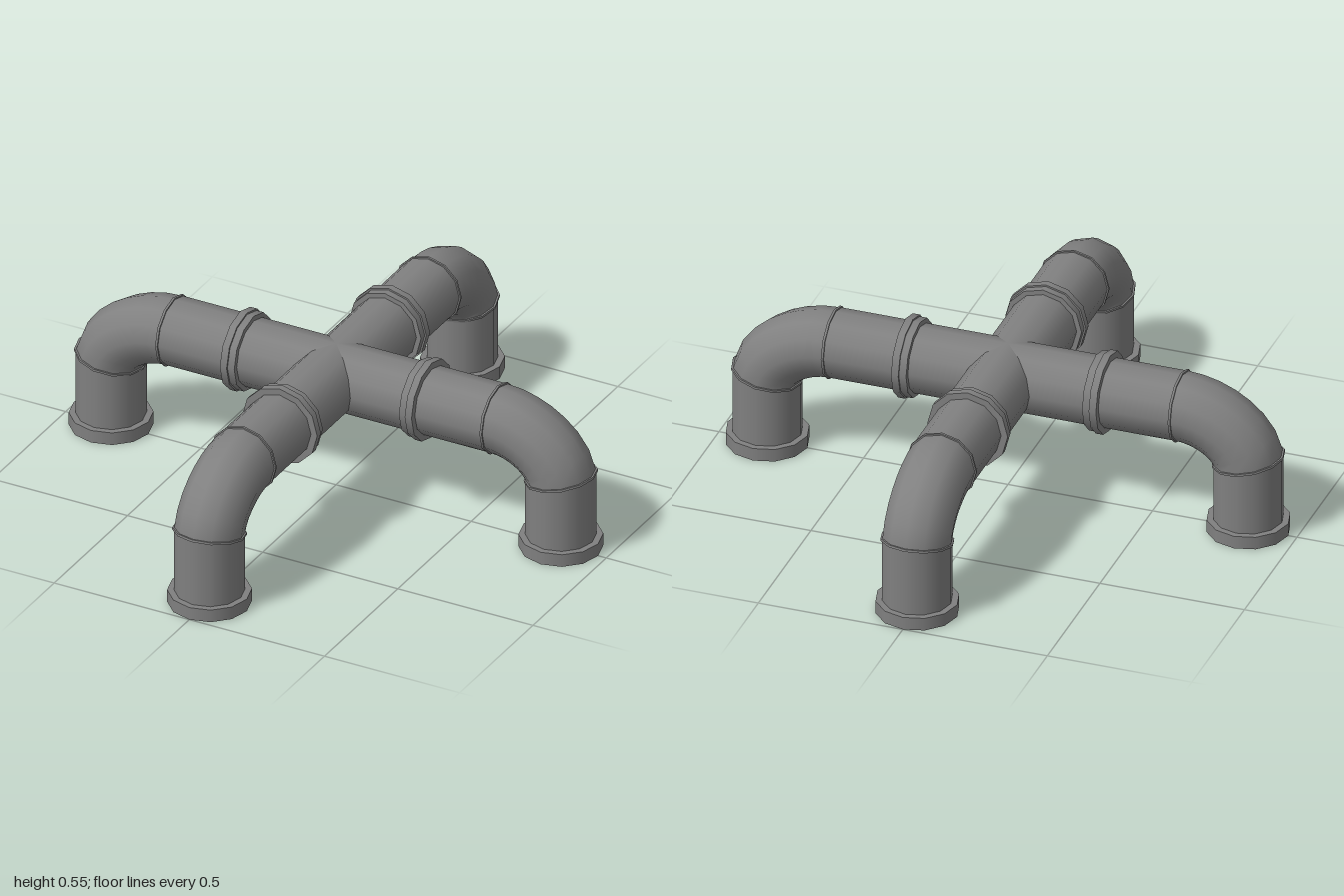
import * as THREE from 'three';

const SIDES = 12;
const R = 0.116;      // pipe radius
const AXIS_Y = 0.415; // height of the horizontal pipes
const TILT = 0.187;   // lean of the joint between elbow and leg

export function createModel() {
  const metal = new THREE.MeshStandardMaterial({ color: 0x808080 });
  const model = new THREE.Group();
  model.name = 'pipeCross';

  const add = (parent, name, geometry, x = 0, y = 0, rotZ = 0) => {
    const mesh = new THREE.Mesh(geometry, metal);
    mesh.name = name;
    mesh.position.set(x, y, 0);
    mesh.rotation.z = rotZ;
    parent.add(mesh);
  };
  const cylinder = (r, h, open = false) => new THREE.CylinderGeometry(r, r, h, SIDES, 1, open);

  // One arm along +x: straight pipe, collar, elbow and flanged leg
  function createArm(shift) {
    const arm = new THREE.Group();
    const bendX = 0.6 + shift, legX = 0.832 + shift, legTop = 0.263;

    // Straight pipe from the crossing to the elbow
    add(arm, 'straightPipe', cylinder(R, bendX, true), bendX / 2, AXIS_Y, -Math.PI / 2);

    // Stepped collar
    add(arm, 'collarInner', cylinder(0.133, 0.025), 0.317 + shift, AXIS_Y, -Math.PI / 2);
    add(arm, 'collarOuter', cylinder(0.139, 0.025), 0.342 + shift, AXIS_Y, -Math.PI / 2);

    // Elbow
    const bend = new THREE.CubicBezierCurve3(
      new THREE.Vector3(bendX, AXIS_Y, 0),
      new THREE.Vector3(bendX + 0.11, AXIS_Y, 0),
      new THREE.Vector3(legX - 0.015, legTop + 0.08, 0),
      new THREE.Vector3(legX, legTop, 0));
    add(arm, 'elbow', new THREE.TubeGeometry(bend, 7, R, SIDES, false));

    // Thin lips at both ends of the elbow
    add(arm, 'upperSeam', cylinder(0.121, 0.008), bendX, AXIS_Y, -Math.PI / 2);
    add(arm, 'lowerSeam', cylinder(0.122, 0.008), legX, legTop, TILT);

    // Leg, its top edge slanted to meet the elbow
    const leg = cylinder(R, legTop, true);
    const p = leg.attributes.position;
    for (let i = 0; i < p.count; i++) {
      if (p.getY(i) > 0) p.setY(i, p.getY(i) + p.getX(i) * Math.tan(TILT));
    }
    add(arm, 'leg', leg, legX, legTop / 2);

    // Foot flange
    add(arm, 'footFlange', cylinder(0.138, 0.045), legX, 0.0225);
    return arm;
  }

  // Four arms; the front and back ones are slightly longer
  ['leftArm', 'backArm', 'rightArm', 'frontArm'].forEach((name, i) => {
    const arm = createArm(i % 2 ? 0.03 : 0);
    arm.name = name;
    arm.rotation.y = i * Math.PI / 2;
    model.add(arm);
  });
  return model;
}
